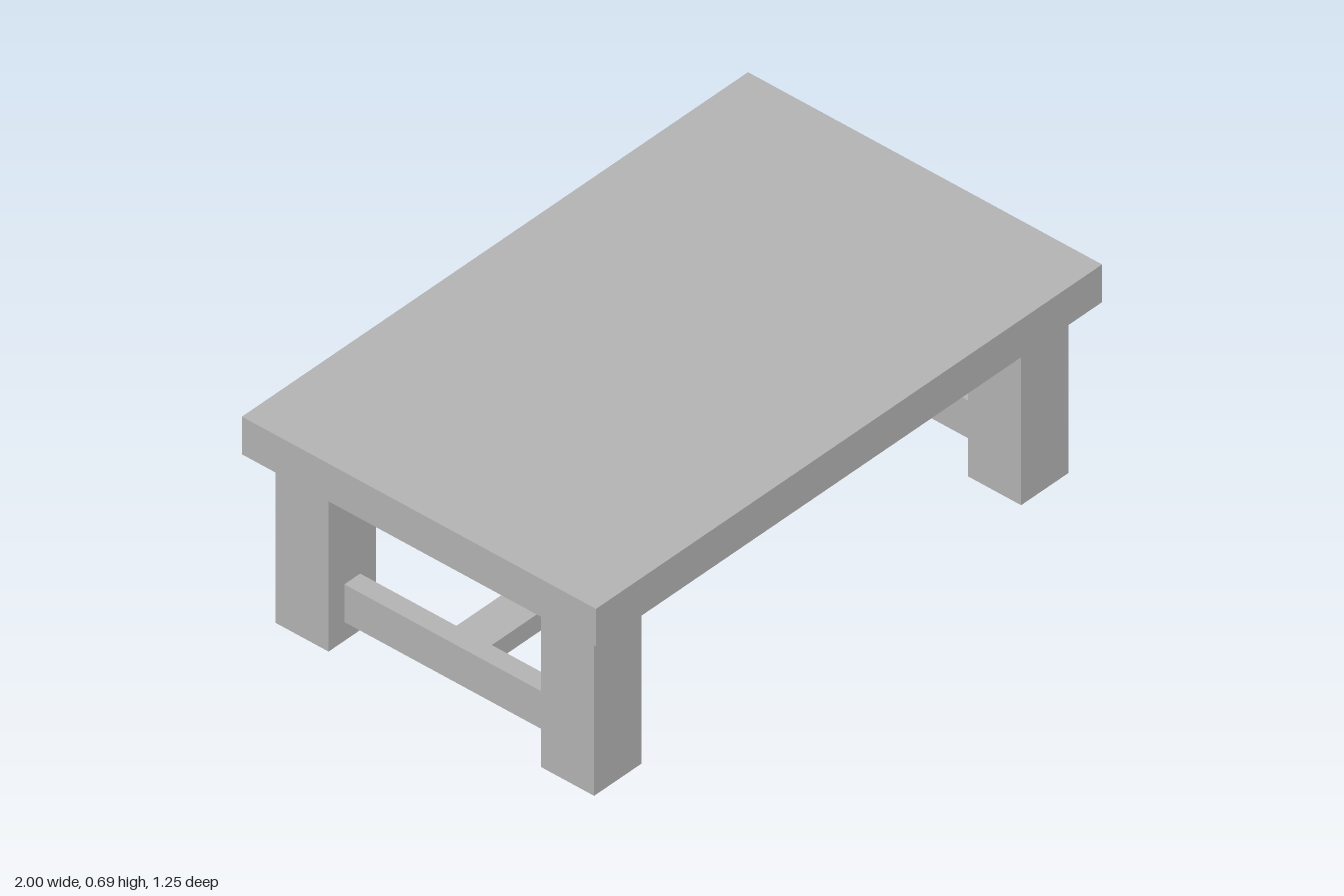
import * as THREE from 'three';

export function createModel() {
  const table = new THREE.Group();
  table.name = 'table';
  const grey = new THREE.MeshStandardMaterial({ color: 0xb2b2b2 });
  grey.name = 'plain grey';

  // Box given by its size, its centre in x and z, and its underside height
  function addBox(name, [w, h, d], x, bottom, z) {
    const mesh = new THREE.Mesh(new THREE.BoxGeometry(w, h, d), grey);
    mesh.name = name;
    mesh.position.set(x, bottom + h / 2, z);
    table.add(mesh);
  }

  const legX = 0.84375, legZ = 0.46875; // leg centres
  const legSize = 0.1875, legHeight = 0.5625;
  const spanX = 1.5, spanZ = 0.75; // clear gaps between legs
  const board = 0.0625; // rail thickness

  // Thick slab top
  addBox('tableTop', [2, 0.125, 1.25], 0, legHeight, 0);

  for (const s of [-1, 1]) {
    const side = s > 0 ? 'left' : 'right';
    const end = s > 0 ? 'front' : 'back';

    // Square legs
    for (const t of [-1, 1]) {
      addBox(`${side}${t > 0 ? 'Front' : 'Back'}Leg`, [legSize, legHeight, legSize], s * legX, 0, t * legZ);
    }

    // Aprons below the top, centred on the legs
    addBox(`${end}Apron`, [spanX, 0.125, board], 0, 0.4375, s * legZ);
    addBox(`${side}Apron`, [board, 0.125, spanZ], s * legX, 0.4375, 0);

    // Low stretcher between the legs of each side
    addBox(`${side}Stretcher`, [board, 0.125, spanZ], s * legX, 0.0625, 0);
  }

  // Long flat stretcher joining the two side stretchers
  addBox('centreStretcher', [2 * legX - board, 0.0625, 0.125], 0, 0.09375, 0);

  return table;
}
